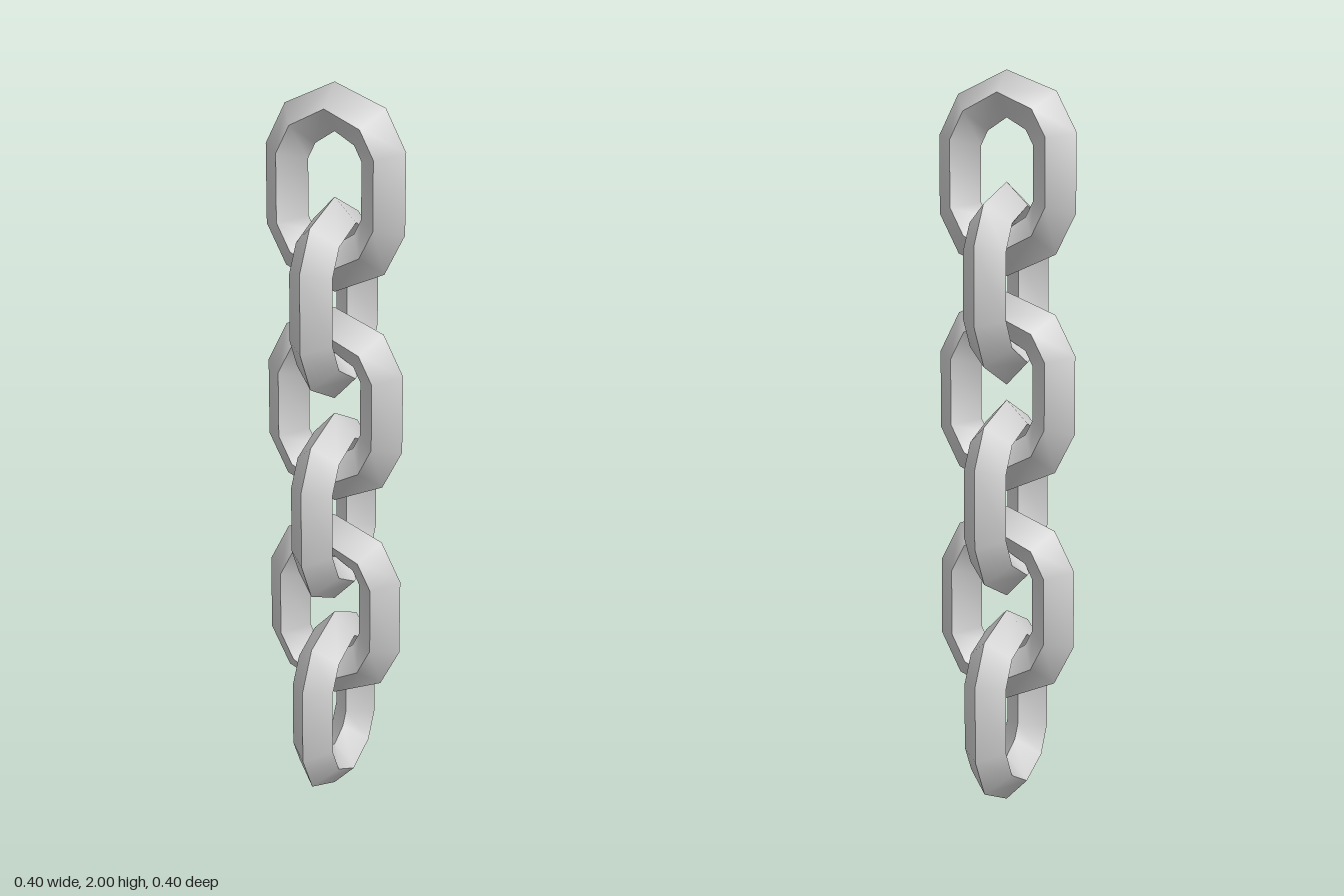
import * as THREE from 'three';
import { toCreasedNormals } from 'three/addons/utils/BufferGeometryUtils.js';

const LINKS = 6;
const HALF_HEIGHT = 0.271;
const SPACING = (2 - 2 * HALF_HEIGHT) / (LINKS - 1);
const BAR = 0.062; // half width of the diamond-section bar

// Ten-sided oval link lying in the xy plane, centred on the origin
function linkGeometry() {
  // outer ridge and its inward mitre direction, upper half
  const half = [
    { p: [0.2, 0.105], d: [0.062, 0.0155] },
    { p: [0.143, 0.212], d: [0.044, 0.049] },
    { p: [0, HALF_HEIGHT], d: [0, 0.062] },
    { p: [-0.143, 0.212], d: [-0.044, 0.049] },
    { p: [-0.2, 0.105], d: [-0.062, 0.0155] },
  ];
  const neg = ([x, y]) => [-x, -y];
  const ring = [...half, ...half.map(({ p, d }) => ({ p: neg(p), d: neg(d) }))];

  // diamond section at each corner: outer, front, inner, back
  const section = [[0, 0], [1, BAR], [2, 0], [1, -BAR]];
  const positions = [];
  for (const { p, d } of ring) {
    for (const [k, z] of section) positions.push(p[0] - k * d[0], p[1] - k * d[1], z);
  }

  const index = [];
  const n = ring.length;
  for (let i = 0; i < n; i++) {
    const j = (i + 1) % n;
    for (let k = 0; k < 4; k++) {
      const m = (k + 1) % 4;
      const a = i * 4 + k, b = j * 4 + k, c = j * 4 + m, e = i * 4 + m;
      index.push(a, b, c, a, c, e);
    }
  }
  const geometry = new THREE.BufferGeometry();
  geometry.setAttribute('position', new THREE.Float32BufferAttribute(positions, 3));
  geometry.setIndex(index);
  // smooth along the bar, sharp on its four ridges
  return toCreasedNormals(geometry, 0.75);
}

export function createModel() {
  const chain = new THREE.Group();
  chain.name = 'chain';
  const geometry = linkGeometry();
  const material = new THREE.MeshStandardMaterial({ color: 0xcccccc });

  // links from top to bottom, every second one turned a quarter
  for (let i = 0; i < LINKS; i++) {
    const link = new THREE.Mesh(geometry, material);
    link.name = `link${i + 1}`;
    link.position.y = 2 - HALF_HEIGHT - i * SPACING;
    link.rotation.y = (i % 2) * Math.PI / 2;
    chain.add(link);
  }
  return chain;
}
